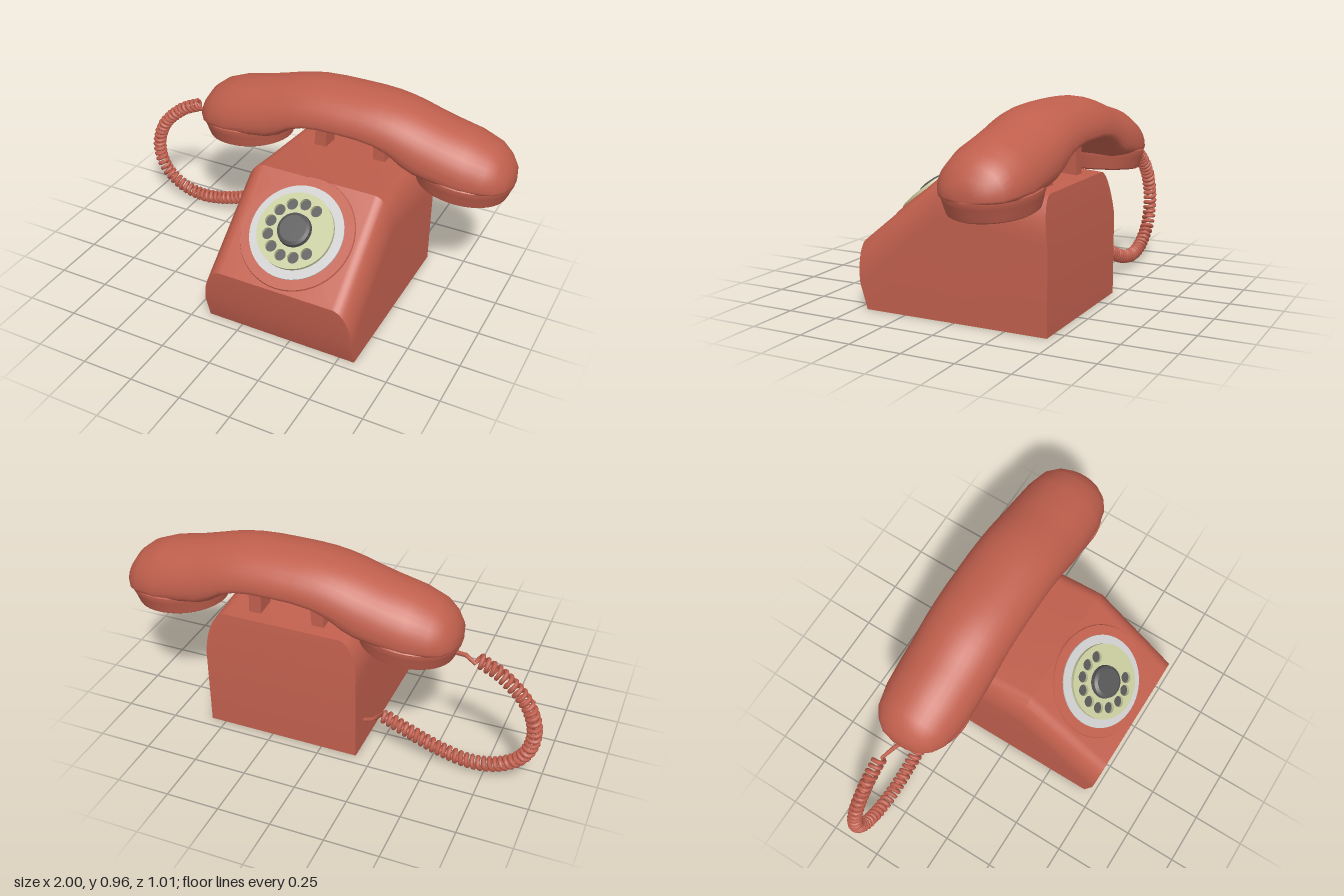
import * as THREE from 'three';
import { toCreasedNormals } from 'three/addons/utils/BufferGeometryUtils.js';

const mat = (color) => new THREE.MeshStandardMaterial({ color });
const red = mat(0xc05f4d), silver = mat(0xcccccc), cream = mat(0xc6ca9c), dark = mat(0x555555);
const CX = 0.2; // the body, dial and handset share this centre line

function add(parent, name, geometry, material, x = 0, y = 0, z = 0) {
  const mesh = new THREE.Mesh(geometry, material);
  mesh.name = name;
  mesh.position.set(x, y, z);
  parent.add(mesh);
  return mesh;
}

// Skin over rows of points, all rows having the same length
function skin(rows, crease) {
  const n = rows[0].length, index = [];
  for (let i = 0; i < rows.length - 1; i++) {
    for (let j = 0; j < n - 1; j++) {
      const a = i * n + j, b = a + n;
      index.push(a, a + 1, b, a + 1, b + 1, b);
    }
  }
  const g = new THREE.BufferGeometry();
  g.setAttribute('position', new THREE.Float32BufferAttribute(rows.flat(2), 3));
  g.setIndex(index);
  return toCreasedNormals(g, crease);
}

// Body: each row runs from the right base edge over the top to the left one
function bodyGeometry() {
  const W = 0.373, flat = 0.28, steps = 10;
  const row = (zT, yT, zS, yS, zB) => {
    const half = [];
    for (let k = 0; k <= steps; k++) {
      const t = (k / steps) * Math.PI / 2, s = Math.sin(t);
      half.push([flat + (W - flat) * Math.cos(t), yS + (yT - yS) * s, zS + (zT - zS) * s]);
    }
    half.unshift([W, 0, zB]);
    return [...half.map(([x, y, z]) => [-x, y, z]), ...half.reverse()];
  };
  return skin([
    row(0.45, 0, 0.45, 0, 0.45),
    row(0.49, 0.12, 0.487, 0.12, 0.45),
    row(0.505, 0.305, 0.487, 0.12, 0.45),
    row(0.08, 0.65, 0.08, 0.47, 0.08),
    row(-0.07, 0.63, -0.05, 0.47, -0.05),
    row(-0.42, 0.6, -0.45, 0.39, -0.45),
    row(-0.45, 0.37, -0.45, 0.37, -0.45),
    row(-0.45, 0, -0.45, 0, -0.45),
  ], 0.6);
}

// Handset shell: half stations [distance from middle, top, widest level, bottom, half depth]
function handsetGeometry() {
  const half = [
    [0.8, 0.67, 0.66, 0.65, 0], [0.8, 0.69, 0.66, 0.64, 0.04], [0.785, 0.735, 0.66, 0.64, 0.1],
    [0.75, 0.785, 0.66, 0.64, 0.145], [0.7, 0.825, 0.67, 0.64, 0.178], [0.6, 0.865, 0.68, 0.64, 0.2],
    [0.47, 0.893, 0.71, 0.645, 0.205], [0.38, 0.918, 0.735, 0.655, 0.205], [0.32, 0.935, 0.76, 0.68, 0.205],
    [0.25, 0.95, 0.785, 0.735, 0.205], [0.18, 0.96, 0.8, 0.765, 0.205], [0.1, 0.964, 0.81, 0.775, 0.205],
    [0, 0.965, 0.81, 0.78, 0.205],
  ];
  const stations = [
    ...half.map(([u, ...r]) => [-u, ...r]),
    ...half.slice(0, -1).reverse(),
  ];
  const rows = stations.map(([u, top, mid, bottom, w]) => {
    const ring = [];
    for (let k = 0; k <= 36; k++) {
      const t = (k / 36) * Math.PI * 2, c = Math.cos(t), s = Math.sin(t);
      const p = s < 0 ? 0.6 : 1; // squarer below than above
      const y = s >= 0 ? mid + (top - mid) * s : mid - (mid - bottom) * Math.pow(-s, p);
      ring.push([u, y, -w * Math.sign(c) * Math.pow(Math.abs(c), p)]);
    }
    return ring;
  });
  return skin(rows, 0.9);
}

// Finger wheel with ten holes
function wheelGeometry() {
  const shape = new THREE.Shape().absarc(0, 0, 0.18, 0, Math.PI * 2);
  for (let i = 0; i < 10; i++) {
    const a = THREE.MathUtils.degToRad(60 + 28.5 * i);
    shape.holes.push(new THREE.Path().absarc(0.127 * Math.cos(a), 0.127 * Math.sin(a), 0.027, 0, Math.PI * 2, true));
  }
  const g = new THREE.ExtrudeGeometry(shape, { depth: 0.018, bevelEnabled: false, curveSegments: 24 });
  return toCreasedNormals(g.rotateX(-Math.PI / 2), 0.6);
}

// Coiled cord: a helix wound round a guide curve with straight leads
function cordGeometry() {
  const guide = new THREE.CatmullRomCurve3([
    [-0.69, 0.615], [-0.8, 0.56], [-0.92, 0.44], [-0.963, 0.3], [-0.93, 0.17],
    [-0.83, 0.085], [-0.7, 0.055], [-0.55, 0.08], [-0.4, 0.135], [-0.27, 0.19],
  ].map(([x, y]) => new THREE.Vector3(x, y, -0.35)));
  const turns = 46, per = 12, total = turns * per;
  const points = [new THREE.Vector3(-0.56, 0.6, -0.31), new THREE.Vector3(-0.63, 0.61, -0.33)];
  const depth = new THREE.Vector3(0, 0, 1);
  for (let i = 0; i <= total; i++) {
    const t = i / total, a = (i / per) * Math.PI * 2;
    const side = new THREE.Vector3().crossVectors(depth, guide.getTangentAt(t));
    points.push(guide.getPointAt(t)
      .addScaledVector(side, 0.026 * Math.cos(a))
      .addScaledVector(depth, 0.026 * Math.sin(a)));
  }
  points.push(new THREE.Vector3(-0.22, 0.155, -0.35), new THREE.Vector3(-0.165, 0.135, -0.35));
  // Even parameter steps keep every turn of the coil equally round
  const curve = new THREE.CatmullRomCurve3(points);
  curve.getPointAt = curve.getPoint;
  curve.getTangentAt = curve.getTangent;
  return new THREE.TubeGeometry(curve, points.length - 1, 0.01, 7);
}

export function createModel() {
  const model = new THREE.Group();
  model.name = 'rotaryTelephone';

  // Body and its underside
  add(model, 'body', bodyGeometry(), red, CX, 0, 0);
  add(model, 'bodyBase', new THREE.PlaneGeometry(0.746, 0.9).rotateX(Math.PI / 2), red, CX, 0, 0);

  // Cradle prongs, each leaning slightly inward
  for (const s of [-1, 1]) {
    const prong = add(model, 'cradleProng', new THREE.BoxGeometry(0.06, 0.24, 0.1), red, CX + s * 0.152, 0.68, -0.31);
    prong.rotation.z = s * 0.04;
  }

  // Dial, lying on the sloping face
  const dial = new THREE.Group();
  dial.name = 'dial';
  dial.position.set(CX, 0.484, 0.285);
  dial.rotation.x = 0.682;
  model.add(dial);
  const disc = (name, rTop, rBottom, h, y, m) =>
    add(dial, name, new THREE.CylinderGeometry(rTop, rBottom, h, 48), m, 0, y, 0);
  disc('dialRim', 0.268, 0.273, 0.012, 0.002, red);
  disc('dialRing', 0.222, 0.222, 0.006, 0.013, silver);
  disc('dialFloor', 0.172, 0.172, 0.006, 0.018, dark);
  add(dial, 'fingerWheel', wheelGeometry(), cream, 0, 0.02, 0);
  disc('dialHub', 0.076, 0.08, 0.022, 0.048, dark);
  disc('dialHubCap', 0.062, 0.076, 0.009, 0.0635, dark);

  // Handset with an ear cup and a mouth cup
  const handset = new THREE.Group();
  handset.name = 'handset';
  handset.position.set(CX, 0, -0.3);
  model.add(handset);
  add(handset, 'handsetShell', handsetGeometry(), red);
  const cupProfile = [[0, 0], [0.176, 0], [0.185, 0.006], [0.192, 0.03], [0.199, 0.06], [0.204, 0.075], [0.204, 0.09], [0.196, 0.1], [0, 0.11]]
    .map(([r, y]) => new THREE.Vector2(r, y));
  const cupGeometry = toCreasedNormals(new THREE.LatheGeometry(cupProfile, 48), 0.6);
  for (const s of [-1, 1]) {
    const cup = add(handset, s < 0 ? 'rightCup' : 'leftCup', cupGeometry, red, s * 0.555, 0.577, 0);
    cup.scale.x = 1.17;
    cup.rotation.z = -s * 0.09;
  }

  add(model, 'coiledCord', cordGeometry(), red);
  return model;
}
